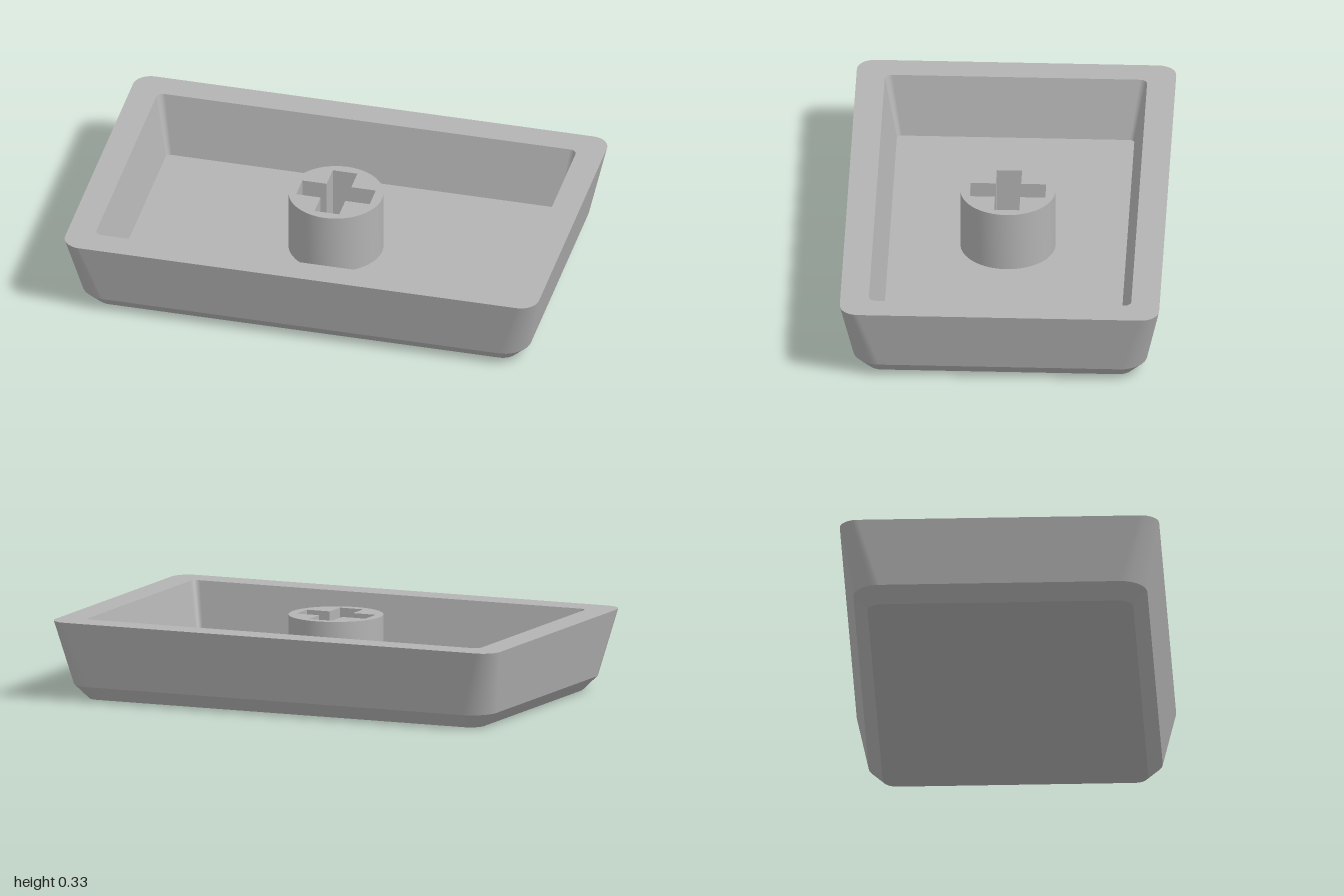
import * as THREE from 'three';
import { toCreasedNormals } from 'three/addons/utils/BufferGeometryUtils.js';

const HEIGHT = 0.33, FLOOR = 0.07, CORNER_STEPS = 10;

// Rounded rectangle, half sizes hx and hz, counterclockwise seen from above
function outline(hx, hz, r) {
  const points = [];
  const signs = [[1, 1], [-1, 1], [-1, -1], [1, -1]];
  signs.forEach(([sx, sy], corner) => {
    for (let i = 0; i <= CORNER_STEPS; i++) {
      const a = (corner + i / CORNER_STEPS) * Math.PI / 2;
      points.push(new THREE.Vector2(sx * (hx - r) + r * Math.cos(a), sy * (hz - r) + r * Math.sin(a)));
    }
  });
  return points;
}

// Wall between two outlines; swap them to face inward
function band(a, ya, b, yb) {
  const n = a.length, positions = [], index = [];
  for (const [ring, y] of [[a, ya], [b, yb]]) {
    for (const p of ring) positions.push(p.x, y, -p.y);
  }
  for (let i = 0; i < n; i++) {
    const j = (i + 1) % n;
    index.push(i, j, n + i, j, n + j, n + i);
  }
  const geometry = new THREE.BufferGeometry();
  geometry.setAttribute('position', new THREE.Float32BufferAttribute(positions, 3));
  geometry.setIndex(index);
  geometry.computeVertexNormals();
  return geometry;
}

// Flat horizontal face, optionally with a hole
function plate(points, y, up = true, hole = null) {
  const shape = new THREE.Shape(points);
  if (hole) shape.holes.push(new THREE.Path(hole));
  return new THREE.ShapeGeometry(shape).rotateX(up ? -Math.PI / 2 : Math.PI / 2).translate(0, y, 0);
}

// Round post with a cross-shaped socket
function stemGeometry() {
  const L = 0.155, W = 0.052;
  const shape = new THREE.Shape().absarc(0, 0, 0.195, 0, Math.PI * 2);
  const cross = [[L, -W], [L, W], [W, W], [W, L], [-W, L], [-W, W],
    [-L, W], [-L, -W], [-W, -W], [-W, -L], [W, -L], [W, -W]];
  shape.holes.push(new THREE.Path(cross.map(([x, y]) => new THREE.Vector2(x, y))));
  const geometry = new THREE.ExtrudeGeometry(shape, { depth: HEIGHT - FLOOR, bevelEnabled: false, curveSegments: 32 });
  geometry.rotateX(-Math.PI / 2).translate(0, FLOOR, 0);
  return toCreasedNormals(geometry, 0.5);
}

export function createModel() {
  const group = new THREE.Group();
  const plastic = new THREE.MeshStandardMaterial({ color: 0xb3b3b3 });
  plastic.name = 'grey plastic';

  const add = (name, geometry) => {
    const mesh = new THREE.Mesh(geometry, plastic);
    mesh.name = name;
    group.add(mesh);
  };

  const base = outline(0.885, 0.545, 0.06);
  const shoulder = outline(0.945, 0.603, 0.11);
  const rim = outline(1, 0.655, 0.075);
  const opening = outline(0.885, 0.538, 0.03);
  const floor = outline(0.835, 0.487, 0.02);

  // Outer shell
  add('base', plate(base, 0, false));
  add('chamfer', band(base, 0, shoulder, 0.06));
  add('outerWall', band(shoulder, 0.06, rim, HEIGHT));
  add('rim', plate(rim, HEIGHT, true, opening));

  // Hollow inside
  add('innerWall', band(opening, HEIGHT, floor, FLOOR));
  add('floor', plate(floor, FLOOR));
  add('stem', stemGeometry());

  return group;
}
